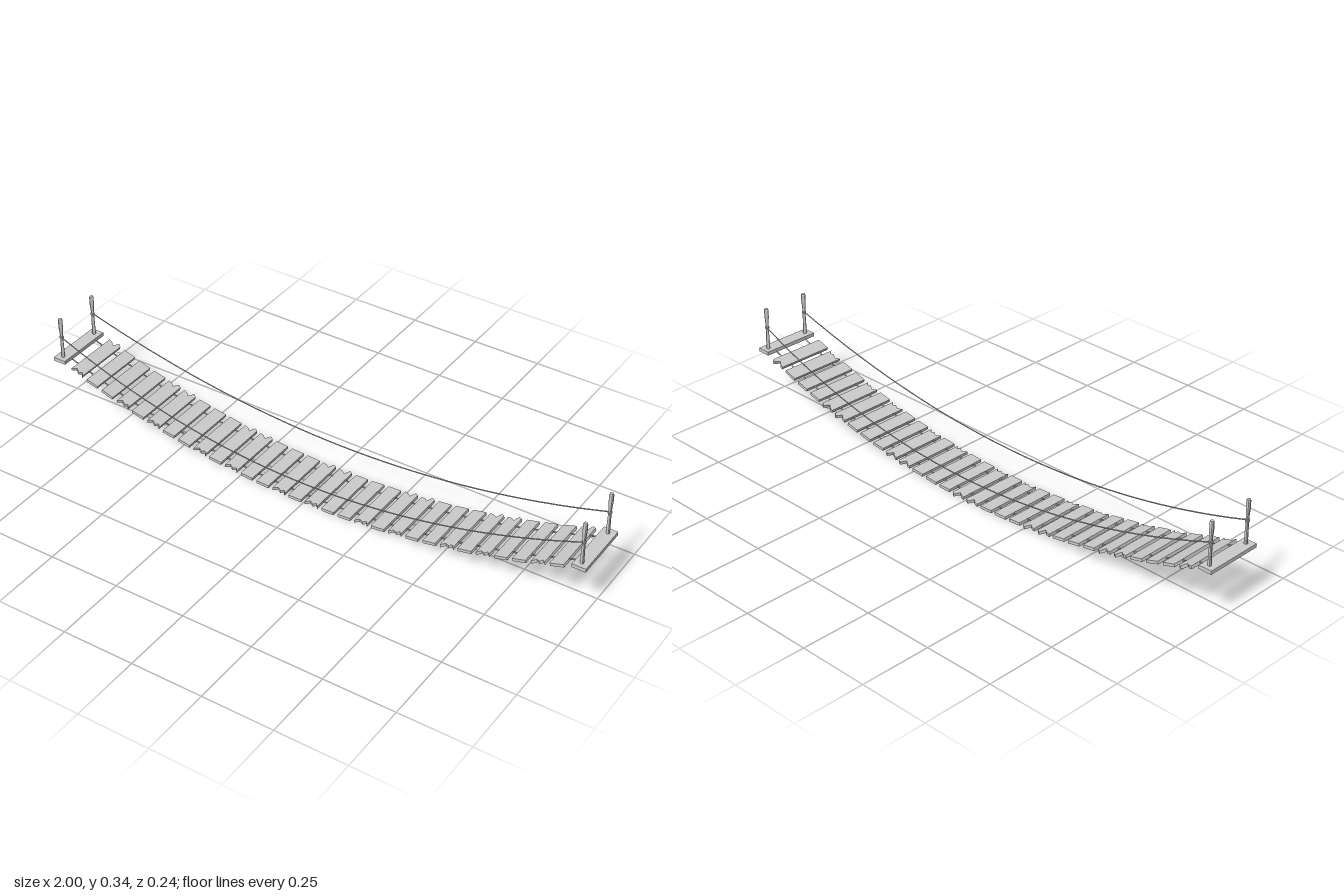
import * as THREE from 'three';

const material = new THREE.MeshStandardMaterial({ color: 0xcccccc });
const flat = new THREE.MeshStandardMaterial({ color: 0xcccccc, flatShading: true });

const deckY = (x) => 0.006 + 0.178 * (x / 0.97) ** 2;
const deckSlope = (x) => 2 * 0.178 * x / 0.97 ** 2;

function add(parent, geometry, name, mat = material) {
  const mesh = new THREE.Mesh(geometry, mat);
  mesh.name = name;
  parent.add(mesh);
  return mesh;
}

// Board outline: x along the bridge, y across it, with optional splintered ends
function plankGeometry(width, splitA, splitB) {
  const w = width / 2, h = 0.103;
  const outline = [[-w, -h], [w, -h], [w, h], [-w, h]];
  if (splitB) outline.splice(3, 0, [w * 0.5, h + 0.008], [w * 0.1, h - 0.014], [-w * 0.4, h - 0.004]);
  if (splitA) outline.splice(1, 0, [-w * 0.4, -h + 0.013], [w * 0.2, -h + 0.004], [w * 0.6, -h + 0.012]);
  const shape = new THREE.Shape(outline.map(([x, y]) => new THREE.Vector2(x, y)));
  const geometry = new THREE.ExtrudeGeometry(shape, { depth: 0.01, bevelEnabled: false });
  geometry.translate(0, 0, -0.005);
  geometry.rotateX(-Math.PI / 2);
  return geometry;
}

// Rope through sampled points of a curve given as y(x), z(x)
function ropeGeometry(end, yAt, zAt, radius) {
  const points = [];
  for (let i = 0; i <= 20; i++) {
    const x = -end + 2 * end * i / 20;
    points.push(new THREE.Vector3(x, yAt(x), zAt(x)));
  }
  return new THREE.TubeGeometry(new THREE.CatmullRomCurve3(points), 80, radius, 6);
}

export function createModel() {
  const bridge = new THREE.Group();
  bridge.name = 'ropeBridge';

  // Walking boards following the sag
  const variants = [
    plankGeometry(0.047, true, true),
    plankGeometry(0.046, false, false),
    plankGeometry(0.048, false, true),
    plankGeometry(0.045, false, false),
    plankGeometry(0.047, true, false),
  ];
  const count = 30;
  for (let i = 0; i < count; i++) {
    const x = -0.905 + 1.81 * i / (count - 1);
    const plank = add(bridge, variants[(i * 3) % 5], 'plank', flat);
    plank.position.set(x, deckY(x), 0);
    plank.rotation.z = Math.atan(deckSlope(x)) + 0.03 * Math.sin(i * 2.3);
  }

  // Post profile: slim waist, flared rounded head
  const postProfile = [
    [0, 0.18], [0.0065, 0.18], [0.006, 0.22], [0.005, 0.265], [0.0055, 0.285],
    [0.0075, 0.31], [0.0075, 0.335], [0.0062, 0.34], [0, 0.34],
  ].map(([r, y]) => new THREE.Vector2(r, y));
  const postGeometry = new THREE.LatheGeometry(postProfile, 10);
  const wrapGeometry = new THREE.TorusGeometry(0.0055, 0.0022, 6, 14).rotateX(Math.PI / 2);

  for (const side of [-1, 1]) {
    // Flat landing board at each end
    const landing = add(bridge, new THREE.BoxGeometry(0.047, 0.013, 0.208), 'landingBoard', flat);
    landing.position.set(side * 0.9765, 0.1835, 0);

    // Posts with rope wraps
    for (const z of [-0.083, 0.083]) {
      add(bridge, postGeometry, 'post', flat).position.set(side * 0.976, 0, z);
      for (const y of [0.267, 0.271]) {
        add(bridge, wrapGeometry, 'ropeWrap').position.set(side * 0.976, y, z);
      }
    }

    // Handrail rope, bowing outwards at mid-span
    add(bridge, ropeGeometry(0.976,
      (x) => 0.094 + 0.175 * (x / 0.976) ** 2,
      (x) => side * (0.116 - 0.031 * (x / 0.976) ** 2), 0.002), 'handRope');

    // Rope threading the boards
    add(bridge, ropeGeometry(0.965, deckY, () => side * 0.065, 0.0025), 'deckRope');
  }
  return bridge;
}
